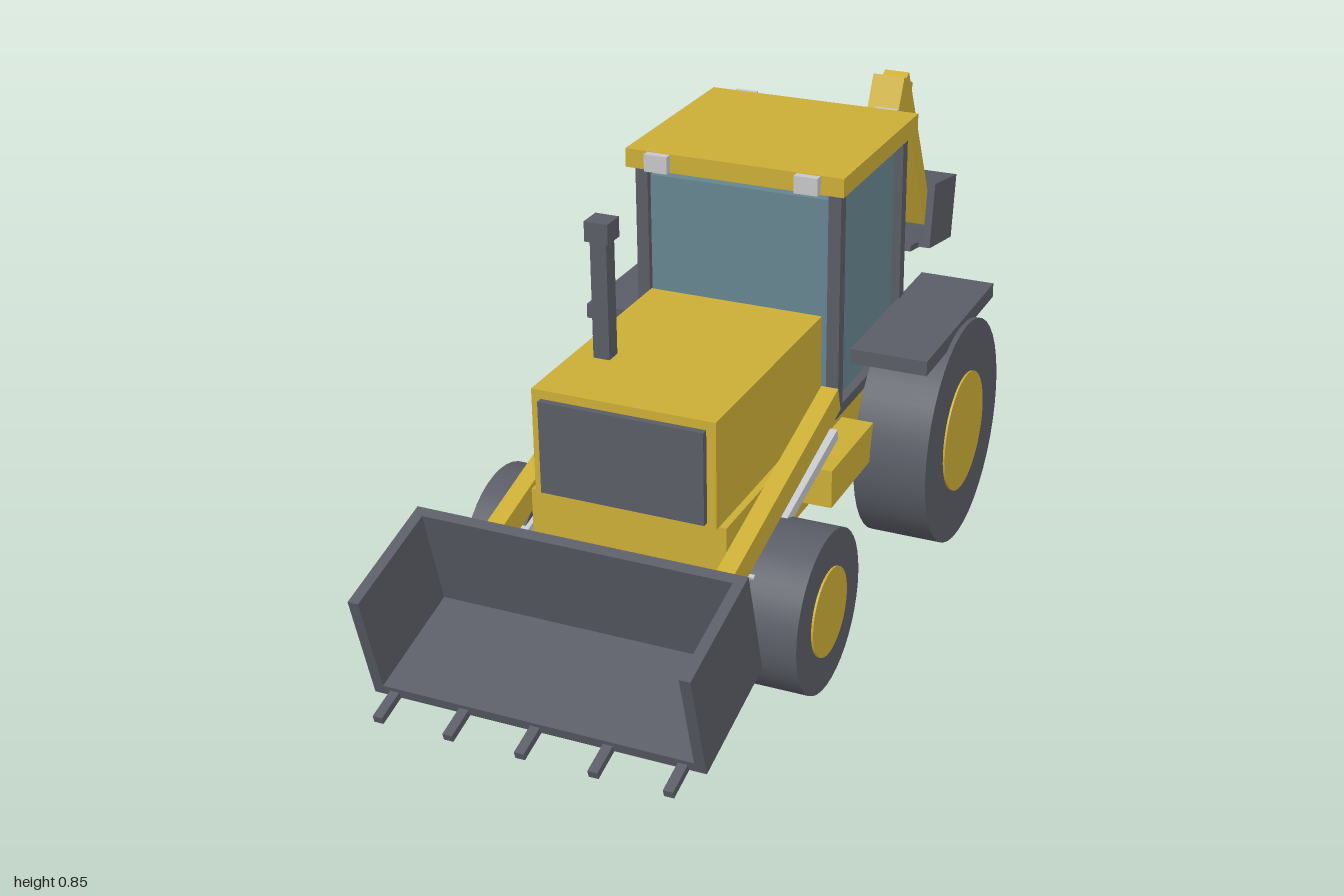
import * as THREE from 'three';

const mat = (name, color) => {
  const m = new THREE.MeshStandardMaterial({ color });
  m.name = name;
  return m;
};

export function createModel() {
  const yellow = mat('yellow paint', 0xccae36);
  const dark = mat('dark grey', 0x5a5d66);
  const glass = mat('tinted glass', 0x66858f);
  const light = mat('light grey', 0xc6c7ca);
  const model = new THREE.Group();
  model.name = 'digger';

  const add = (name, geometry, material, parent = model) => {
    const mesh = new THREE.Mesh(geometry, material);
    mesh.name = name;
    parent.add(mesh);
    return mesh;
  };
  // Box given by its lower and upper limits on each axis
  const box = (name, material, [x0, x1], [y0, y1], [z0, z1], parent = model) => {
    const mesh = add(name, new THREE.BoxGeometry(x1 - x0, y1 - y0, z1 - z0), material, parent);
    mesh.position.set((x0 + x1) / 2, (y0 + y1) / 2, (z0 + z1) / 2);
  };
  // Square bar between two (z, y) points in the side plane
  const bar = (name, material, x, [z0, y0], [z1, y1], width, thick) => {
    const length = Math.hypot(z1 - z0, y1 - y0);
    const mesh = add(name, new THREE.BoxGeometry(width, thick, length), material);
    mesh.position.set(x, (y0 + y1) / 2, (z0 + z1) / 2);
    mesh.rotation.x = -Math.atan2(y1 - y0, z1 - z0);
  };
  // Cylinder lying along x
  const drum = (name, material, radius, width, x, y, z) => {
    const geometry = new THREE.CylinderGeometry(radius, radius, width, 40).rotateZ(Math.PI / 2);
    add(name, geometry, material).position.set(x, y, z);
  };
  // Bucket open at the front and top, with teeth along the floor
  const bucket = (name, half, height, depth, wall, teeth, tooth, reach) => {
    const group = new THREE.Group();
    group.name = name;
    const h = height / 2, d = depth / 2;
    for (const s of [-1, 1]) {
      const x = s * (half - wall / 2);
      box('bucketSide', dark, [x - wall / 2, x + wall / 2], [-h, h], [-d, d], group);
    }
    const inner = half - wall;
    box('bucketBack', dark, [-inner, inner], [-h, h], [-d, -d + wall], group);
    box('bucketFloor', dark, [-inner, inner], [-h, -h + wall], [-d + wall, d], group);
    for (const x of teeth) {
      box('bucketTooth', dark, [x - tooth / 2, x + tooth / 2], [-h - 0.002, -h + 0.012],
        [d - 0.02, d + reach], group);
    }
    model.add(group);
    return group;
  };

  // Chassis and hood
  box('chassis', yellow, [-0.19, 0.19], [0.215, 0.36], [-0.48, 0.58]);
  box('frontBumper', yellow, [-0.2, 0.2], [0.225, 0.265], [0.5, 0.655]);
  box('hood', yellow, [-0.176, 0.176], [0.36, 0.565], [0.1, 0.59]);
  box('grille', dark, [-0.158, 0.158], [0.37, 0.548], [0.585, 0.603]);
  box('exhaustStem', dark, [-0.134, -0.102], [0.56, 0.79], [0.4, 0.432]);
  box('exhaustCap', dark, [-0.141, -0.095], [0.79, 0.828], [0.393, 0.439]);

  // Cab
  box('cabFloor', dark, [-0.208, 0.208], [0.355, 0.376], [-0.275, 0.1]);
  box('cabGlass', glass, [-0.19, 0.19], [0.376, 0.79], [-0.262, 0.08]);
  box('roof', yellow, [-0.22, 0.22], [0.81, 0.847], [-0.3, 0.11]);
  for (const s of [-1, 1]) {
    for (const z of [-0.262, 0.08]) {
      const x = s * 0.196;
      box('cabPillar', dark, [x - 0.0125, x + 0.0125], [0.37, 0.812], [z - 0.0125, z + 0.0125]);
    }
    for (const z of [-0.302, 0.115]) {
      const x = s * 0.151;
      box('roofLight', light, [x - 0.0235, x + 0.0235], [0.812, 0.846], [z - 0.011, z + 0.011]);
    }
  }

  // Wheels, axles and parts mirrored on both sides
  drum('rearAxle', dark, 0.04, 0.5, 0, 0.23, -0.193);
  drum('frontAxle', dark, 0.032, 0.5, 0, 0.155, 0.448);
  for (const s of [-1, 1]) {
    drum('rearTyre', dark, 0.23, 0.148, s * 0.296, 0.23, -0.193);
    drum('rearHub', yellow, 0.123, 0.156, s * 0.296, 0.23, -0.193);
    drum('frontTyre', dark, 0.154, 0.11, s * 0.275, 0.154, 0.448);
    drum('frontHub', yellow, 0.084, 0.118, s * 0.275, 0.154, 0.448);

    const span = (a, b) => (s > 0 ? [a, b] : [-b, -a]);
    box('fender', dark, span(0.205, 0.36), [0.44, 0.47], [-0.4, 0.02]);
    box('sideStep', yellow, span(0.18, 0.255), [0.245, 0.322], [0.02, 0.242]);
    box('stabilizerLeg', dark, span(0.241, 0.283), [0.03, 0.31], [-0.53, -0.488]);
    box('stabilizerFoot', dark, span(0.217, 0.307), [0.017, 0.034], [-0.565, -0.46]);

    bar('loaderArm', yellow, s * 0.222, [0.166, 0.434], [0.742, 0.273], 0.034, 0.05);
    bar('loaderRam', light, s * 0.222, [0.155, 0.355], [0.56, 0.252], 0.022, 0.022);
  }

  // Front loader bucket
  const frontBucket = bucket('frontBucket', 0.311, 0.217, 0.24, 0.02,
    [-0.27, -0.135, 0, 0.135, 0.27], 0.018, 0.06);
  frontBucket.position.set(0, 0.255, 0.853);
  frontBucket.rotation.x = 0.272;

  // Rear digging arm
  box('rearMount', dark, [-0.108, 0.108], [0.215, 0.36], [-0.555, -0.475]);
  bar('rearBoom', yellow, 0, [-0.545, 0.3], [-0.777, 0.756], 0.072, 0.065);
  bar('rearStick', yellow, 0, [-0.78, 0.755], [-0.978, 0.342], 0.056, 0.048);
  bar('rearRam', light, 0, [-0.595, 0.295], [-0.756, 0.572], 0.026, 0.026);
  const rearBucket = bucket('rearBucket', 0.09, 0.148, 0.158, 0.014, [-0.055, 0, 0.055], 0.015, 0.054);
  rearBucket.position.set(0, 0.418, -0.89);
  rearBucket.rotation.x = -0.175;

  return model;
}
